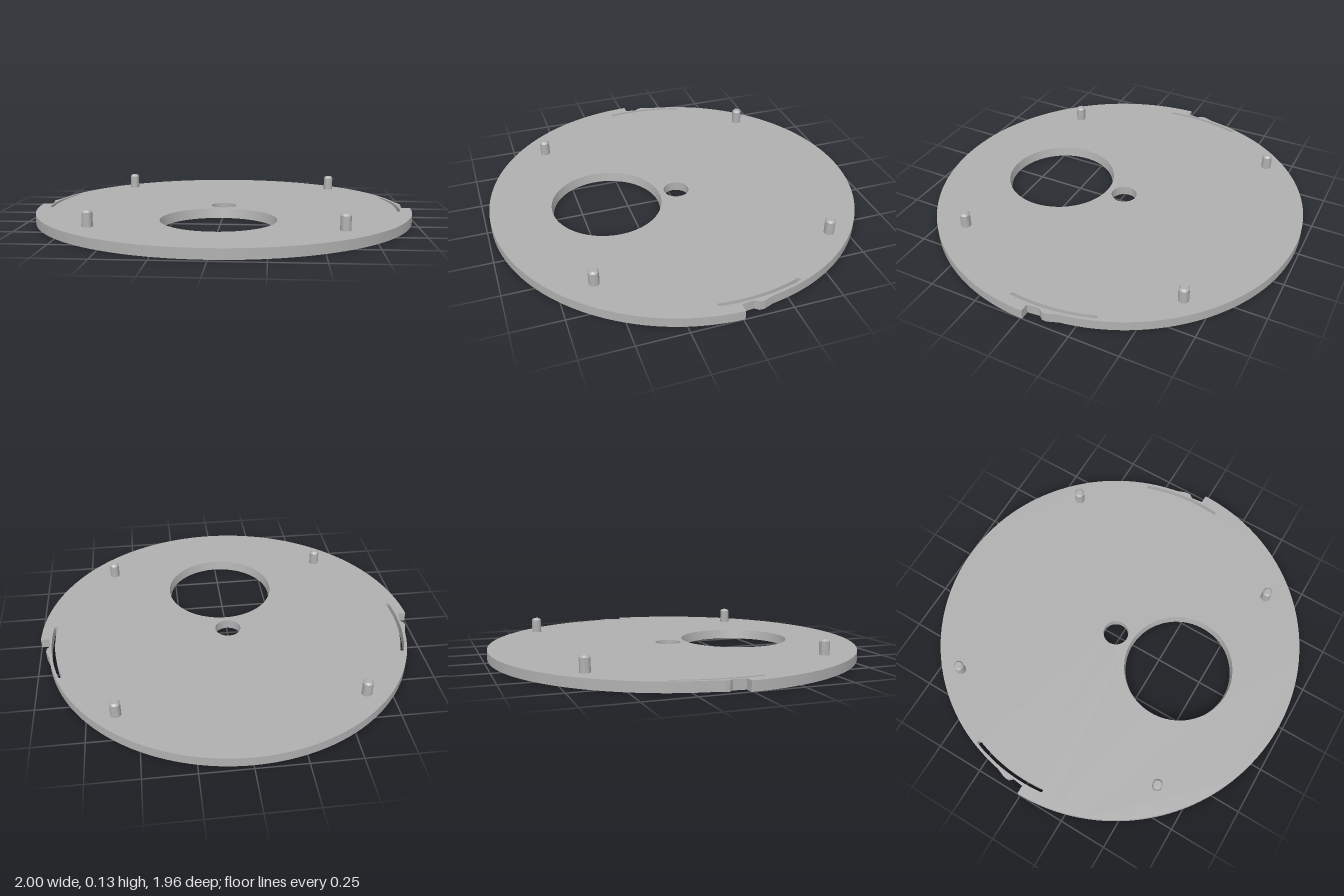
import * as THREE from 'three';
import { toCreasedNormals } from 'three/addons/utils/BufferGeometryUtils.js';

const THICK = 0.05, CENTRE_Z = -0.024;
const HOLE = { y: -0.39, top: 0.291, bottom: 0.283 };

// Circular hole in the plate's plan (plan y points to the back)
function roundHole(x, y, r) {
  return new THREE.Path().absarc(x, y, r, 0, Math.PI * 2, true);
}

// Thin curved slot with rounded ends, centred on the angle mid
function arcSlot(mid, half) {
  const r = 0.932, w = 0.009, a0 = mid - half, a1 = mid + half;
  const p = new THREE.Path();
  p.absarc(0, 0, r + w, a0, a1, false);
  p.absarc(r * Math.cos(a1), r * Math.sin(a1), w, a1, a1 + Math.PI, false);
  p.absarc(0, 0, r - w, a1, a0, true);
  p.absarc(r * Math.cos(a0), r * Math.sin(a0), w, a0 + Math.PI, a0 + Math.PI * 2, false);
  return p;
}

function plateGeometry() {
  // Wide front half, narrower back half, with a snap bump beside each step
  const side = [[1.0, -0.015], [0.955, -0.015], [0.948, 0.048], [0.965, 0.068], [0.965, 0.092], [0.945, 0.146]];
  const start = Math.atan2(0.146, 0.945);
  const s = new THREE.Shape();
  s.absarc(0, 0, 1, Math.PI + 0.015, Math.PI * 2 - 0.015, false);
  side.forEach(([x, y]) => s.lineTo(x, y));
  s.absarc(0, 0, 0.956, start, Math.PI - start, false);
  [...side].reverse().forEach(([x, y]) => s.lineTo(-x, y));

  const mid = 0.104, half = 0.223;
  s.holes.push(
    roundHole(0, 0, 0.068),
    roundHole(0, HOLE.y, HOLE.top),
    arcSlot(mid, half),
    arcSlot(Math.PI - mid, half)
  );
  const g = new THREE.ExtrudeGeometry(s, { depth: THICK, bevelEnabled: false, curveSegments: 64 });

  // Taper the large opening towards the underside
  const p = g.attributes.position;
  for (let i = 0; i < p.count; i++) {
    const x = p.getX(i), y = p.getY(i) - HOLE.y;
    if (p.getZ(i) < 0.001 && Math.abs(Math.hypot(x, y) - HOLE.top) < 0.001) {
      const k = HOLE.bottom / HOLE.top;
      p.setXY(i, x * k, HOLE.y + y * k);
    }
  }
  g.rotateX(-Math.PI / 2);
  return toCreasedNormals(g, 0.2);
}

// Locating peg with a chamfered tip
function pegGeometry() {
  const profile = [[0.026, THICK - 0.01], [0.026, 0.12], [0.017, 0.13], [0, 0.13]];
  const g = new THREE.LatheGeometry(profile.map(([x, y]) => new THREE.Vector2(x, y)), 32);
  return toCreasedNormals(g, 0.4);
}

export function createModel() {
  const grey = new THREE.MeshStandardMaterial({ color: 0xb0b0b0 });
  grey.name = 'grey';
  const model = new THREE.Group();
  model.name = 'coverDisc';

  const plate = new THREE.Mesh(plateGeometry(), grey);
  plate.name = 'plate';
  plate.position.z = CENTRE_Z;
  model.add(plate);

  const peg = pegGeometry();
  for (const x of [-1, 1]) for (const z of [-1, 1]) {
    const m = new THREE.Mesh(peg, grey);
    m.name = (z > 0 ? 'front' : 'back') + (x > 0 ? 'Left' : 'Right') + 'Peg';
    m.position.set(x * 0.606, 0, CENTRE_Z + z * 0.606);
    model.add(m);
  }
  return model;
}
